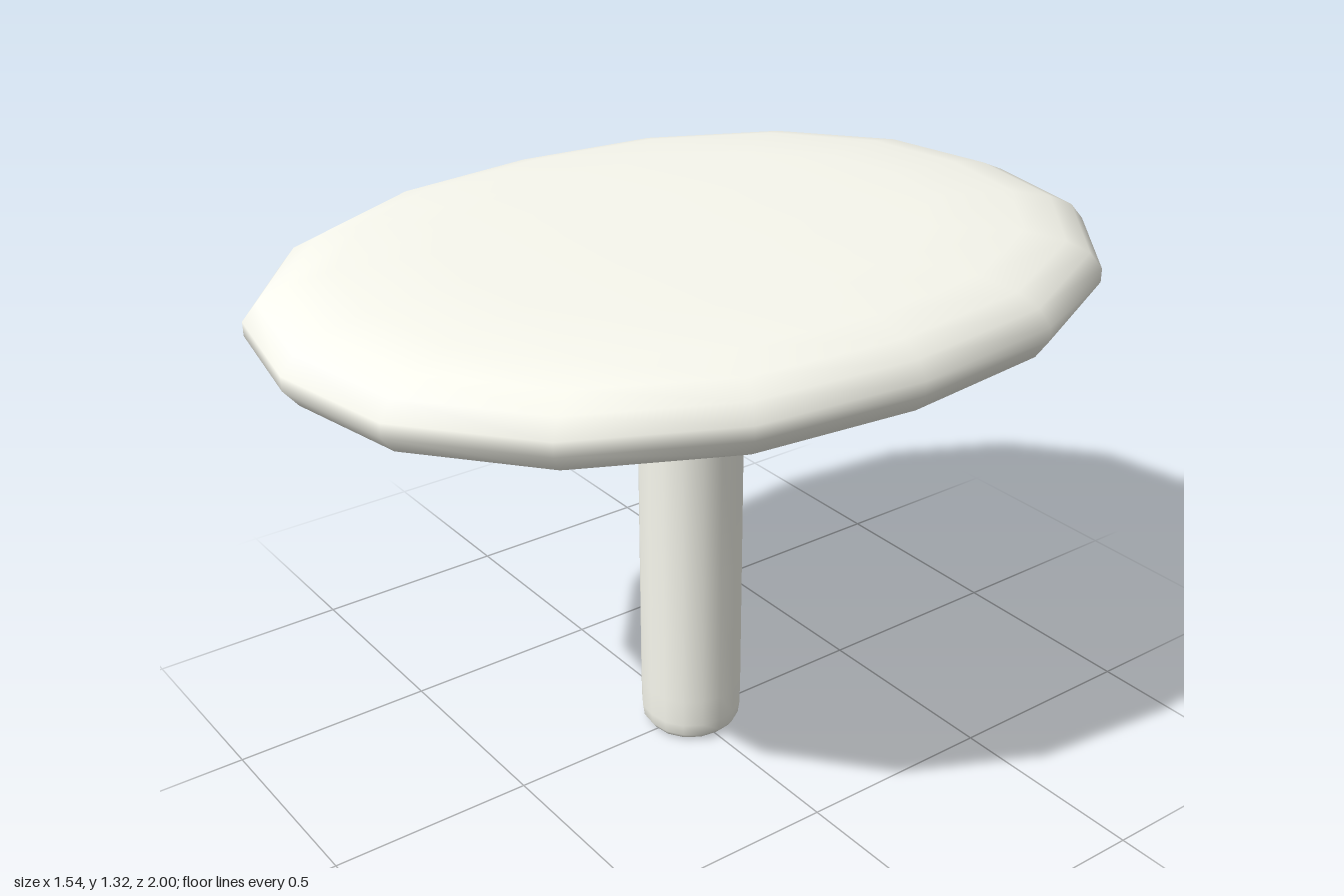
import * as THREE from 'three';
import { mergeVertices } from 'three/addons/utils/BufferGeometryUtils.js';

// Cross-sections from the foot up: [half width x, half depth z, height y]
const stemRings = [
  [0, 0, 0], [0.09, 0.09, 0.001], [0.107, 0.107, 0.006], [0.117, 0.117, 0.02],
  [0.121, 0.121, 0.05], [0.122, 0.122, 0.12], [0.122, 0.122, 0.45], [0.122, 0.122, 0.8],
];
const flareRings = [
  [0.126, 0.122, 0.88], [0.14, 0.135, 0.955], [0.17, 0.2, 1.0], [0.23, 0.3, 1.037],
  [0.36, 0.47, 1.06],
];
const topRings = [
  [0.58, 0.75, 1.085], [0.69, 0.895, 1.112], [0.745, 0.967, 1.143], [0.77, 1.0, 1.183],
  [0.77, 1.0, 1.215], [0.745, 0.967, 1.253], [0.7, 0.905, 1.281], [0.62, 0.8, 1.304],
  [0.45, 0.58, 1.315], [0.2, 0.26, 1.319], [0, 0, 1.32],
];

// Joins 16-sided oval rings into one smooth skin
function ovalLoft(rings, sides) {
  const geo = new THREE.LatheGeometry(rings.map((r) => new THREE.Vector2(1, r[2])), sides);
  const pos = geo.attributes.position;
  for (let i = 0; i < pos.count; i++) {
    const [rx, rz] = rings[i % rings.length];
    const x = pos.getX(i), z = pos.getZ(i);
    // slightly fuller than a true ellipse on the diagonals
    const full = 1 + 0.06 * Math.abs(x * z);
    pos.setXYZ(i, x * rx * full, pos.getY(i), z * rz * full);
  }
  geo.deleteAttribute('uv');
  geo.deleteAttribute('normal');
  const welded = mergeVertices(geo, 1e-4);
  welded.computeVertexNormals();
  return welded;
}

export function createModel() {
  const group = new THREE.Group();
  group.name = 'pedestalTable';
  // Stem, flared neck and oval top form one continuous ivory surface
  const body = new THREE.Mesh(
    ovalLoft([...stemRings, ...flareRings, ...topRings], 16),
    new THREE.MeshStandardMaterial({ color: 0xf8f8ee }),
  );
  body.name = 'ovalTopOnStem';
  group.add(body);
  return group;
}
